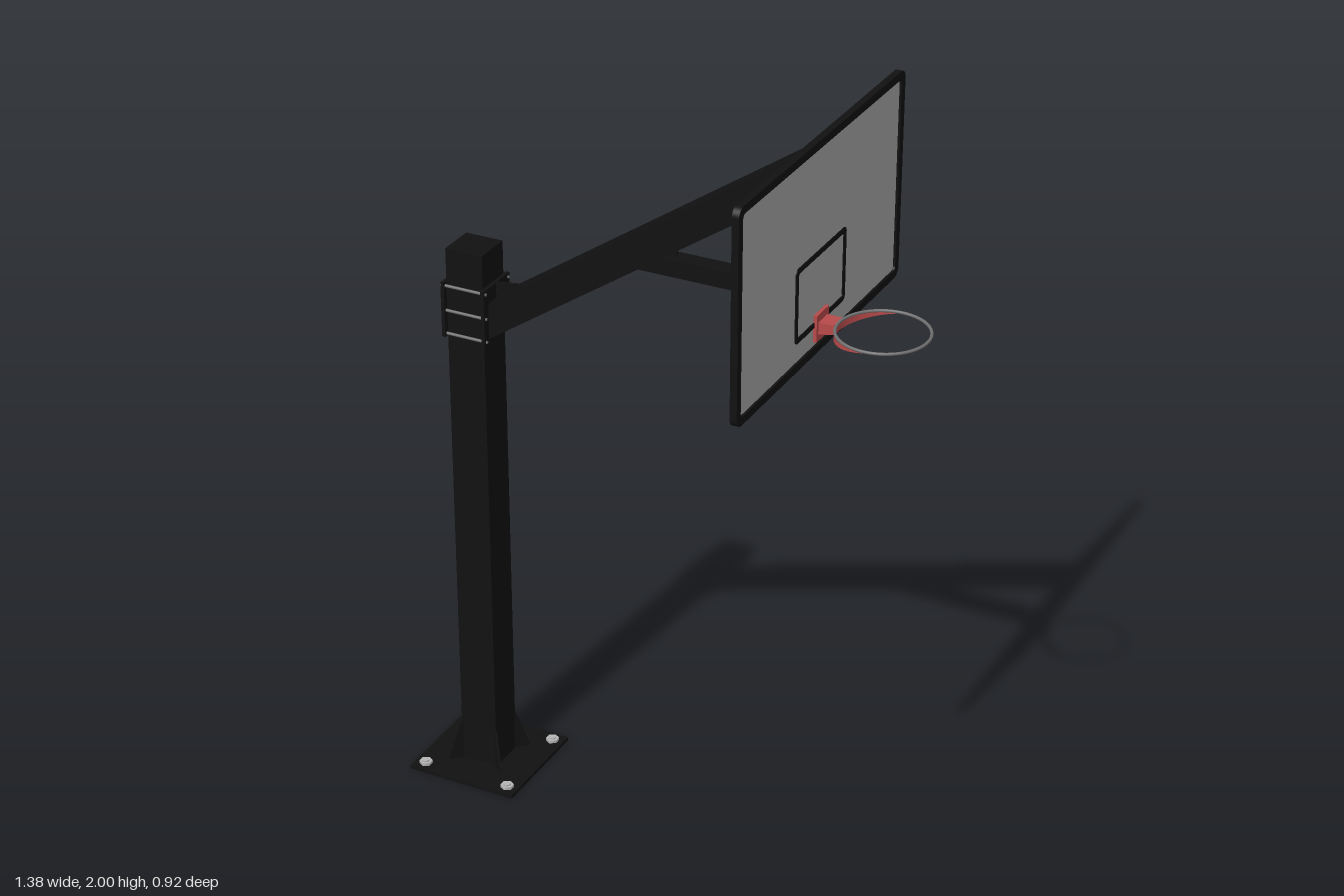
import * as THREE from 'three';

const mat = (name, color, side = THREE.FrontSide) => {
  const m = new THREE.MeshStandardMaterial({ color, side });
  m.name = name;
  return m;
};

export function createModel() {
  const black = mat('black paint', 0x111111);
  const blackSheet = mat('black sheet', 0x111111, THREE.DoubleSide);
  const glass = mat('board grey', 0xa6a6a6);
  const red = mat('rim red', 0xb84a4a, THREE.DoubleSide);
  const steel = mat('rod steel', 0x707070);
  const zinc = mat('bolt zinc', 0xb4b4b4);

  const model = new THREE.Group();
  model.name = 'basketballHoop';
  const add = (name, geo, material, x = 0, y = 0, z = 0) => {
    const mesh = new THREE.Mesh(geo, material);
    mesh.name = name;
    mesh.position.set(x, y, z);
    model.add(mesh);
    return mesh;
  };
  // Box given by its minimum and maximum corners
  const block = (name, material, x0, x1, y0, y1, z0, z1) =>
    add(name, new THREE.BoxGeometry(x1 - x0, y1 - y0, z1 - z0), material,
      (x0 + x1) / 2, (y0 + y1) / 2, (z0 + z1) / 2);
  // Side profile in x and y, extruded evenly about z = 0
  const profile = (points, width) => {
    const shape = new THREE.Shape(points.map(([x, y]) => new THREE.Vector2(x, y)));
    return new THREE.ExtrudeGeometry(shape, { depth: width, bevelEnabled: false })
      .translate(0, 0, -width / 2);
  };
  const roundRect = (path, w, h, r) => {
    const x = w / 2, y = h / 2;
    path.moveTo(-x + r, -y);
    path.lineTo(x - r, -y);
    path.absarc(x - r, -y + r, r, -Math.PI / 2, 0);
    path.absarc(x - r, y - r, r, 0, Math.PI / 2);
    path.absarc(-x + r, y - r, r, Math.PI / 2, Math.PI);
    path.absarc(-x + r, -y + r, r, Math.PI, Math.PI * 1.5);
    return path;
  };
  // Rectangular frame facing +x
  const frame = (w, h, r, bar, depth) => {
    const shape = roundRect(new THREE.Shape(), w, h, r);
    shape.holes.push(roundRect(new THREE.Path(), w - 2 * bar, h - 2 * bar, r * 0.5));
    return new THREE.ExtrudeGeometry(shape, { depth, bevelEnabled: false, curveSegments: 6 })
      .rotateY(Math.PI / 2);
  };

  // Post, base plate, corner gussets and anchor bolts
  const px = -0.536, half = 0.052;
  block('post', black, px - half, px + half, 0.005, 1.52, -half, half);
  block('basePlate', black, px - 0.156, px + 0.156, 0, 0.009, -0.156, 0.156);
  for (const sx of [-1, 1]) {
    for (const sz of [-1, 1]) {
      const gusset = add('baseGusset',
        profile([[0, 0.008], [0.042, 0.008], [0.038, 0.025], [0.006, 0.12], [0, 0.12]], 0.006),
        black, px + sx * (half - 0.002), 0, sz * (half - 0.002));
      gusset.rotation.y = Math.atan2(-sz, sx);
      const bx = px + sx * 0.125, bz = sz * 0.125;
      add('anchorNut', new THREE.CylinderGeometry(0.018, 0.018, 0.008, 6), zinc, bx, 0.013, bz);
      add('anchorBolt', new THREE.CylinderGeometry(0.01, 0.01, 0.006, 10), zinc, bx, 0.018, bz);
    }
  }

  // Clamp: two plates pulled together by threaded rods
  block('clampPlateBack', black, px - 0.062, px - half, 1.28, 1.43, -0.065, 0.065);
  block('clampPlateFront', black, px + half, px + 0.062, 1.28, 1.43, -0.065, 0.065);
  for (const y of [1.288, 1.352, 1.42]) {
    for (const s of [-1, 1]) {
      add('clampRod', new THREE.CylinderGeometry(0.004, 0.004, 0.13, 8).rotateZ(Math.PI / 2),
        steel, px, y, s * 0.0575);
    }
  }

  // Sloping arm, horizontal brace and their gussets
  add('arm', profile([[-0.476, 1.29], [0.388, 1.875], [0.388, 1.972], [-0.476, 1.387]], 0.088), black);
  add('armGusset', profile([[-0.476, 1.375], [-0.37, 1.445], [-0.476, 1.43]], 0.006), black);
  add('brace', profile([[-0.105, 1.565], [0.388, 1.565], [0.388, 1.61], [-0.03, 1.61]], 0.05), black);
  add('braceGusset', profile([[-0.04, 1.605], [0.03, 1.605], [0.03, 1.64]], 0.006), black);
  block('armEndPlate', black, 0.386, 0.396, 1.865, 1.98, -0.056, 0.056);
  block('braceEndPlate', black, 0.386, 0.396, 1.55, 1.622, -0.045, 0.045);

  // Backboard with its frame and target rectangle
  block('boardPanel', glass, 0.397, 0.407, 1.465, 1.985, -0.445, 0.445);
  add('boardFrame', frame(0.915, 0.55, 0.025, 0.021, 0.018), black, 0.395, 1.725, 0);
  add('targetRectangle', frame(0.28, 0.195, 0.014, 0.014, 0.003), blackSheet, 0.4065, 1.617, 0);

  // Rim bracket
  block('rimMount', red, 0.407, 0.416, 1.482, 1.552, -0.034, 0.034);
  add('rimBracket', profile([[0.414, 1.5], [0.456, 1.508], [0.456, 1.532], [0.414, 1.532]], 0.05), red);

  // Red band under the near half of the ring, deepest at the bracket
  const cx = 0.572, R = 0.116;
  const band = new THREE.CylinderGeometry(R, R, 0.01, 32, 1, true, Math.PI, Math.PI);
  const p = band.attributes.position;
  for (let i = 0; i < p.count; i++) {
    const depth = 0.002 + 0.022 * Math.max(0, -p.getX(i) / R);
    p.setY(i, p.getY(i) > 0 ? 0 : -depth);
  }
  band.computeVertexNormals();
  add('rimBand', band, red, cx, 1.53, 0);
  add('rimRing', new THREE.TorusGeometry(R - 0.002, 0.004, 8, 64).rotateX(Math.PI / 2), steel, cx, 1.531, 0);

  return model;
}
